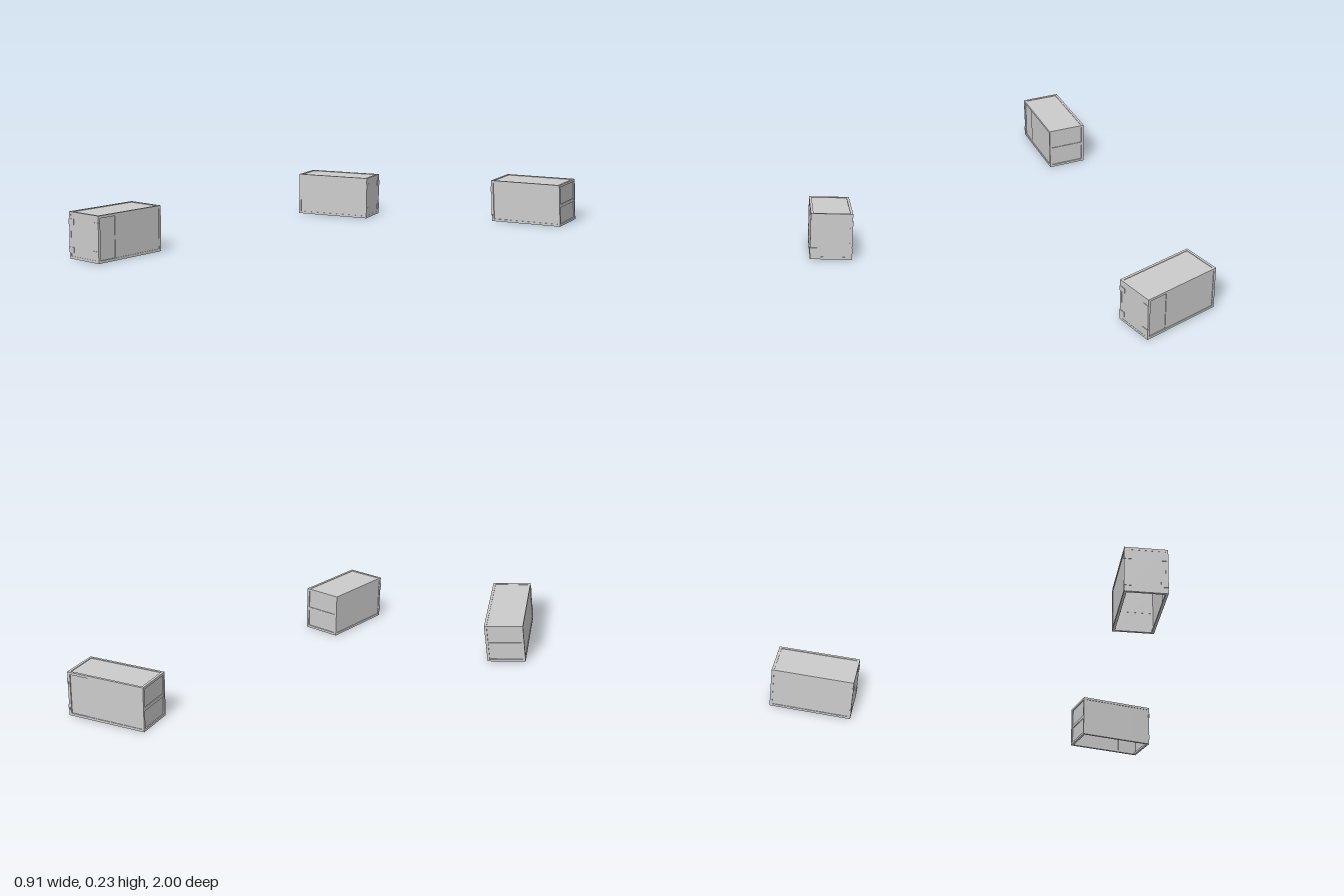
import * as THREE from 'three';

const L = 0.426, H = 0.235, W = 0.21; // container size
const T = 0.013;                      // frame bar thickness
const P = 0.004;                      // sheet thickness
const mat = new THREE.MeshStandardMaterial({ color: 0xcccccc, flatShading: true });

function box(parent, name, w, h, d, x, y, z) {
  const mesh = new THREE.Mesh(new THREE.BoxGeometry(w, h, d), mat);
  mesh.name = name;
  mesh.position.set(x, y, z);
  parent.add(mesh);
}

// Open-bottomed container, long axis on x with the door at +x
function container(name) {
  const g = new THREE.Group();
  g.name = name;
  const ex = L / 2 - T / 2, ez = W / 2 - T / 2;
  const il = L - 2 * T, ih = H - 2 * T, iw = W - 2 * T;

  // frame: posts, long rails and cross rails
  for (const s of [-1, 1]) {
    for (const t of [-1, 1]) box(g, 'cornerPost', T, H, T, s * ex, H / 2, t * ez);
    for (const y of [T / 2, H - T / 2]) {
      box(g, 'longRail', il, T, T, 0, y, s * ez);
      box(g, 'crossRail', T, T, iw, s * ex, y, 0);
    }
  }

  // roof sheet, slightly sunk between the rails
  box(g, 'roof', il, P, iw, 0, H - 0.003 - P / 2, 0);

  // side walls: the bay next to the door is set a little deeper
  const bay = 0.1, joint = L / 2 - T - bay;
  for (const s of [-1, 1]) {
    const z = s * (W / 2 - 0.003 - P / 2);
    box(g, 'sidePanel', il - bay, ih, P, -bay / 2, H / 2, z);
    box(g, 'sideBayPanel', bay, ih, P, joint + bay / 2, H / 2, z - (s < 0 ? s * 0.003 : 0));
    box(g, 'innerPost', 0.012, ih, 0.004, joint, H / 2, z - s * 0.004);
  }

  // rear end: two sunk panels divided by a bar
  const mid = 0.115, bar = 0.018;
  box(g, 'rearPanel', P, ih, iw, -L / 2 + 0.006 + P / 2, H / 2, 0);
  box(g, 'rearBar', 0.009, bar, iw, -L / 2 + 0.0065, mid, 0);

  // door sheet with hinges wrapped round both corners
  box(g, 'door', P, ih, iw, L / 2 - 0.001 - P / 2, H / 2, 0);
  for (const s of [-1, 1]) {
    for (const y of [0.045, 0.186]) {
      box(g, 'hingePlate', 0.004, 0.028, 0.036, L / 2, y, s * (W / 2 - 0.017));
      box(g, 'hingeWrap', 0.008, 0.028, 0.003, L / 2 - 0.002, y, s * W / 2);
    }
  }
  return g;
}

export function createModel() {
  const model = new THREE.Group();
  model.name = 'containerPair';

  const back = container('backContainer');
  back.position.set(0.238, 0, -0.894);

  const front = container('frontContainer');
  front.position.set(-0.297, 0, 0.765);
  front.rotation.y = THREE.MathUtils.degToRad(-105);

  model.add(back, front);
  return model;
}
